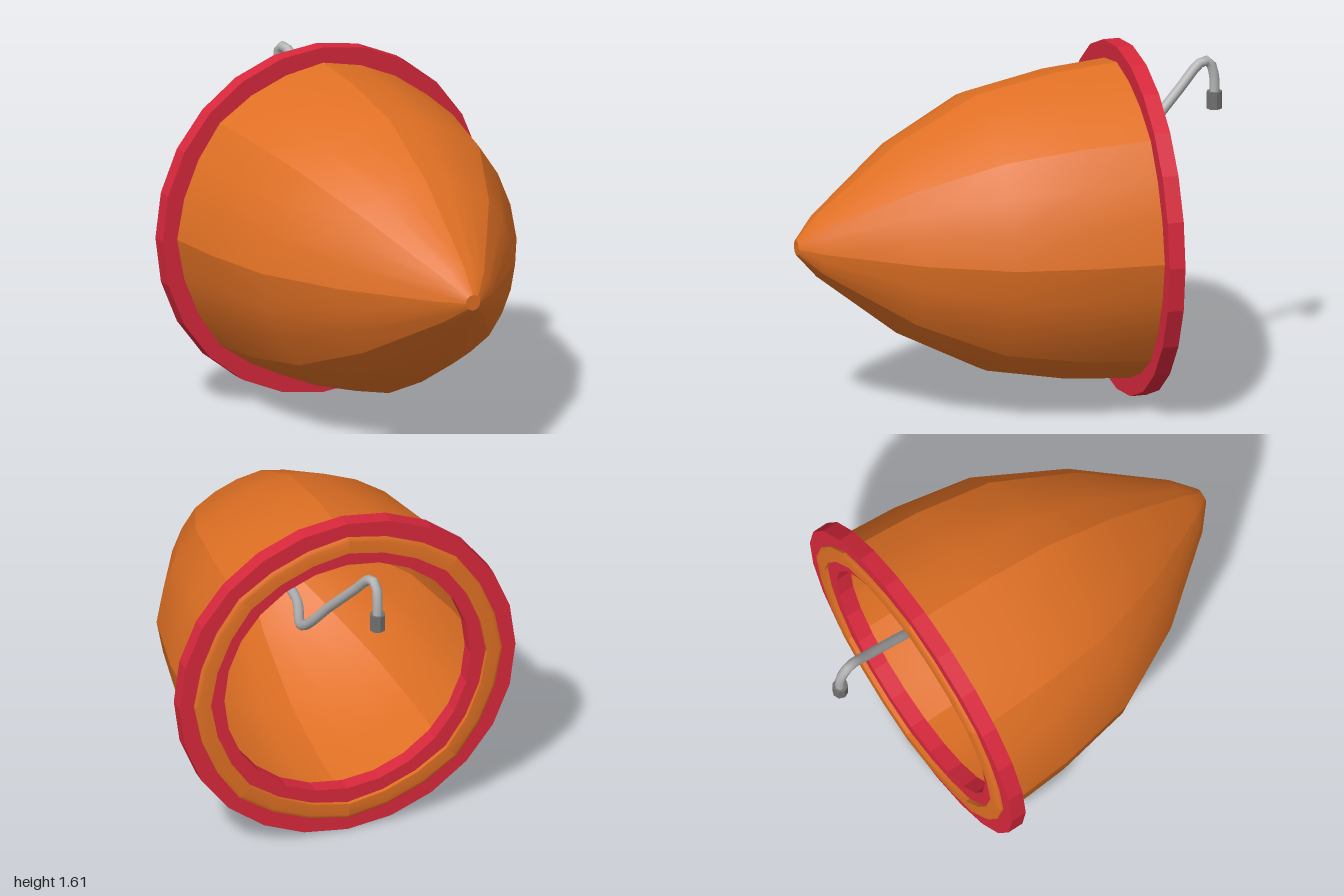
import * as THREE from 'three';

const ORANGE = new THREE.MeshStandardMaterial({ color: 0xe07024 });
const RED = new THREE.MeshStandardMaterial({ color: 0xd8283c, flatShading: true });
const WIRE = new THREE.MeshStandardMaterial({ color: 0xb4b4b4 });
const CAP = new THREE.MeshStandardMaterial({ color: 0x707070, flatShading: true });

const AXIS_Y = 0.805;
const PANELS = 8;
const STEPS = 3;

const toPoints = (list) => list.map(([r, z]) => new THREE.Vector2(r, z));

// One smooth 45 degree panel, slightly flattened between its two ribs
function panelGeometry(profile, index) {
  const arc = (Math.PI * 2) / PANELS;
  const geo = new THREE.LatheGeometry(toPoints(profile), STEPS, index * arc, arc);
  const pos = geo.attributes.position;
  for (let i = 0; i < pos.count; i++) {
    const column = Math.floor(i / profile.length);
    const f = column === 0 || column === STEPS ? 1 : 0.985;
    pos.setXYZ(i, pos.getX(i) * f, pos.getY(i), pos.getZ(i) * f);
  }
  geo.computeVertexNormals();
  return geo.rotateX(Math.PI / 2);
}

function shellPart(name, profile) {
  const part = new THREE.Group();
  part.name = name;
  for (let i = 0; i < PANELS; i++) {
    const mesh = new THREE.Mesh(panelGeometry(profile, i), ORANGE);
    mesh.name = name + 'Panel';
    part.add(mesh);
  }
  part.position.y = AXIS_Y;
  return part;
}

export function createModel() {
  const model = new THREE.Group();
  model.name = 'ribbedCone';

  // Hollow ribbed shell: profiles are [radius, z]
  const outer = [[0.737, -0.59], [0.737, -0.55], [0.71, -0.21], [0.64, 0.155],
    [0.445, 0.53], [0.145, 0.905], [0.036, 1]];
  const inner = [[0, 0.93], [0.1, 0.86], [0.39, 0.49], [0.575, 0.13],
    [0.64, -0.21], [0.662, -0.55], [0.662, -0.6]];
  model.add(shellPart('outerShell', outer));
  model.add(shellPart('innerShell', inner));
  model.add(shellPart('shellRim', [[0.662, -0.6], [0.72, -0.6], [0.737, -0.59]]));
  model.add(shellPart('shellTip', [[0.036, 1], [0, 1]]));

  // Flat collar passing through the shell wall
  const collarProfile = [[0.59, -0.58], [0.805, -0.58], [0.805, -0.505],
    [0.59, -0.505], [0.59, -0.58]];
  const collar = new THREE.Mesh(
    new THREE.LatheGeometry(toPoints(collarProfile), 24).rotateX(Math.PI / 2), RED);
  collar.name = 'collar';
  collar.position.y = AXIS_Y;
  model.add(collar);

  // Hooked wire running out of the open back
  const path = new THREE.CatmullRomCurve3([
    [0, 0.82, 0.92], [0, 0.85, 0.45], [0.03, 0.89, 0], [0.13, 0.97, -0.35],
    [0.085, 1.21, -0.6], [0.04, 1.39, -0.78], [0.01, 1.505, -0.9],
    [0, 1.5, -0.94], [0, 1.43, -0.963], [0, 1.33, -0.965],
  ].map((p) => new THREE.Vector3(...p)));
  const wire = new THREE.Mesh(new THREE.TubeGeometry(path, 60, 0.023, 10), WIRE);
  wire.name = 'wire';
  model.add(wire);

  // Cap on the hanging end
  const cap = new THREE.Mesh(new THREE.CylinderGeometry(0.036, 0.036, 0.08, 8), CAP);
  cap.name = 'wireCap';
  cap.position.set(0, 1.32, -0.964);
  model.add(cap);

  return model;
}
